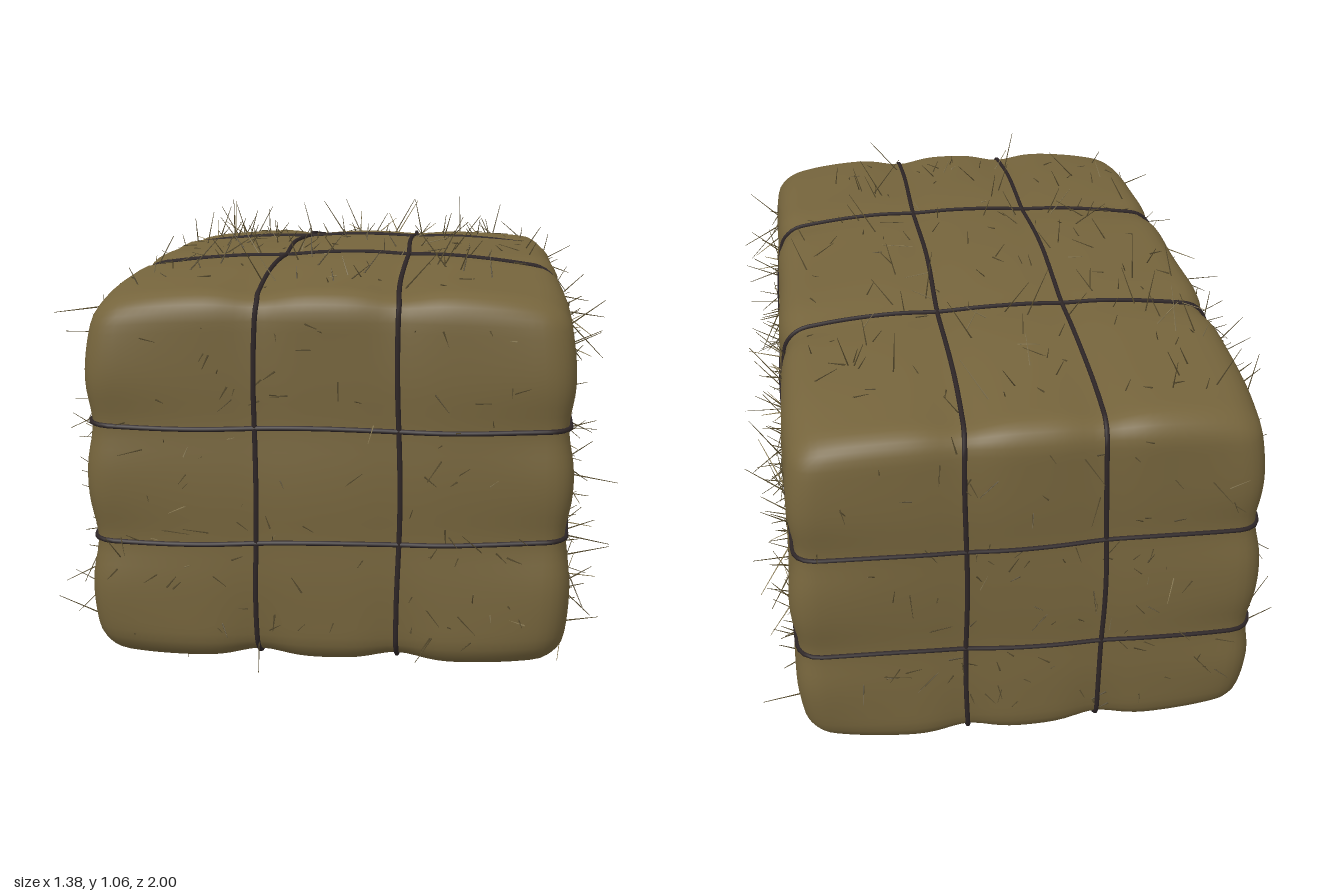
import * as THREE from 'three';
import { mergeVertices, mergeGeometries } from 'three/addons/utils/BufferGeometryUtils.js';

const AXES = ['x', 'y', 'z'];
const HALF = new THREE.Vector3(0.547, 0.43, 0.912);
const CENTER = new THREE.Vector3(0.018, 0.483, 0);
const ROUND = 0.062;
// where each twine loop runs, as a position along its axis (slightly skewed)
const TWINE = {
  x: [(p) => -0.145 + 0.006 * p.z, (p) => 0.172 + 0.006 * p.z],
  y: [(p) => 0.335 + 0.018 * Math.cos(1.7 * p.z) + 0.016 * p.x + 0.01 * p.z,
    (p) => 0.606 + 0.012 * Math.cos(1.7 * p.z)],
  z: [(p) => -0.338 - 0.02 * p.x, (p) => 0.312 + 0.008 * p.x],
};

function makeRandom(seed) {
  return () => {
    seed = (seed * 1664525 + 1013904223) % 4294967296;
    return seed / 4294967296;
  };
}

// Maps a point on the plain box to the soft, pinched bale surface
function onBale(p) {
  const inner = p.clone().clamp(
    HALF.clone().negate().addScalar(ROUND), HALF.clone().subScalar(ROUND));
  const normal = p.clone().sub(inner).normalize();
  const out = inner.addScaledVector(normal, ROUND);
  const n = out.clone().divide(HALF);
  // worn corners, the upper ones sagging more
  const corner = Math.abs(n.x * n.y * n.z) ** 4;
  out.multiplyScalar(1 - 0.045 * corner);
  // crowned top, slightly full sides
  out.y += Math.max(n.y, 0) * Math.cos(n.z * 1.5) * 0.045 * (0.35 + 0.65 * Math.cos(n.x * 1.5));
  out.y -= Math.max(n.y, 0) * 0.025 * corner;
  out.x += 0.013 * n.x * (1 - n.y * n.y);
  out.add(CENTER);
  // gentle lumps, and grooves under the twine that bite deepest on the edges
  let push = 0.004 * Math.sin(out.x * 6 + out.z * 8 + 1) * Math.sin(out.y * 9 + out.z * 5);
  AXES.forEach((a, i) => {
    const edge = Math.abs(n[AXES[(i + 1) % 3]] * n[AXES[(i + 2) % 3]]) ** 4;
    const depth = (0.004 + 0.018 * edge) * (1 - Math.abs(normal[a]));
    for (const line of TWINE[a]) {
      push -= depth * Math.exp(-(((out[a] - line(out)) / 0.07) ** 2));
    }
  });
  out.addScaledVector(normal, push);
  return { point: out, normal };
}

function makeBale(material) {
  let geo = new THREE.BoxGeometry(HALF.x * 2, HALF.y * 2, HALF.z * 2, 48, 38, 80);
  geo.deleteAttribute('uv');
  geo.deleteAttribute('normal');
  const pos = geo.attributes.position;
  const v = new THREE.Vector3();
  for (let i = 0; i < pos.count; i++) {
    const { point } = onBale(v.fromBufferAttribute(pos, i));
    pos.setXYZ(i, point.x, point.y, point.z);
  }
  geo = mergeVertices(geo, 1e-5);
  geo.computeVertexNormals();
  const mesh = new THREE.Mesh(geo, material);
  mesh.name = 'bale';
  return mesh;
}

// One loop of twine around the bale, across the given axis
function makeTwine(axis, line, material) {
  const [a, b] = AXES.filter((k) => k !== axis);
  const corners = [[-1, -1], [1, -1], [1, 1], [-1, 1]];
  const points = [];
  const steps = 36;
  corners.forEach((c, i) => {
    const d = corners[(i + 1) % 4];
    for (let s = 0; s < steps; s++) {
      const t = s / steps;
      const p = new THREE.Vector3();
      p[a] = THREE.MathUtils.lerp(c[0], d[0], t) * HALF[a];
      p[b] = THREE.MathUtils.lerp(c[1], d[1], t) * HALF[b];
      p[axis] = line(p) - CENTER[axis] + 0.003 * Math.sin(p[a] * 11 + p[b] * 9);
      const { point, normal } = onBale(p);
      points.push(point.addScaledVector(normal, 0.003));
    }
  });
  const curve = new THREE.CatmullRomCurve3(points, true);
  const mesh = new THREE.Mesh(new THREE.TubeGeometry(curve, 260, 0.0058, 6, true), material);
  mesh.name = 'twineLoop';
  return mesh;
}

function strawGeometry(base, direction, length, radius) {
  const geo = new THREE.CylinderGeometry(radius * 0.35, radius, length, 3);
  geo.translate(0, length / 2, 0);
  geo.applyQuaternion(new THREE.Quaternion().setFromUnitVectors(
    new THREE.Vector3(0, 1, 0), direction));
  return geo.translate(base.x, base.y, base.z);
}

// Loose straw: [axis, side, standing stalks, flat flecks, longest stalk]
const STRAW = [
  ['x', -1, 210, 30, 0.16], ['x', 1, 210, 30, 0.15],
  ['y', 1, 150, 35, 0.14], ['y', -1, 40, 15, 0.05],
  ['z', 1, 75, 30, 0.1], ['z', -1, 75, 30, 0.1],
];

function scatterStraw(darkStraw, paleStraw) {
  const random = makeRandom(77);
  const spread = () => random() * 2 - 1;
  const dark = [], pale = [];
  for (const [axis, side, stalks, flecks, longest] of STRAW) {
    for (let i = 0; i < stalks + flecks; i++) {
      // kept off the rounded edges
      const p = new THREE.Vector3(spread(), spread(), spread()).multiplyScalar(0.88).multiply(HALF);
      p[axis] = side * HALF[axis];
      const { point, normal } = onBale(p);
      const flat = i >= stalks;
      const dir = new THREE.Vector3(spread(), spread(), spread());
      if (flat) dir.addScaledVector(normal, -dir.dot(normal)).normalize();
      else dir.multiplyScalar(0.95).addScaledVector(normal, 0.85).normalize();
      const length = flat ? 0.015 + random() * 0.03
        : THREE.MathUtils.lerp(0.03, longest, random() ** 1.6);
      // keep the stalks inside the overall outline
      const tip = point.clone().addScaledVector(dir, length);
      if (tip.y < 0.003 || tip.y > 1.07 || Math.abs(tip.z) > 0.99 || Math.abs(tip.x) > 0.69) continue;
      const geo = strawGeometry(point.addScaledVector(normal, flat ? 0.001 : -0.005),
        dir, length, flat ? 0.0026 : 0.0021);
      (random() < 0.12 ? pale : dark).push(geo);
    }
  }
  // longest stalks at each end and below
  for (const s of [-1, 1]) {
    dark.push(strawGeometry(new THREE.Vector3(-0.3 * s, 0.5, 0.89 * s),
      new THREE.Vector3(0, 0, s), 0.11, 0.002));
    dark.push(strawGeometry(new THREE.Vector3(0.55 * s, 0.45, 0.1 * s),
      new THREE.Vector3(s, 0, 0), 0.14, 0.002));
  }
  dark.push(strawGeometry(new THREE.Vector3(-0.19, 0.06, 0.2),
    new THREE.Vector3(0, -1, 0), 0.06, 0.002));

  const group = new THREE.Group();
  group.name = 'looseStraw';
  for (const [name, list, material] of [
    ['darkStalks', dark, darkStraw], ['paleStalks', pale, paleStraw]]) {
    const mesh = new THREE.Mesh(mergeGeometries(list), material);
    mesh.name = name;
    group.add(mesh);
  }
  return group;
}

export function createModel() {
  const paint = (name, color) => {
    const m = new THREE.MeshStandardMaterial({ color });
    m.name = name;
    return m;
  };
  const hay = paint('hay', 0x75643c);
  const twine = paint('twine', 0x2e2627);
  const darkStraw = paint('darkStraw', 0x5a4e30);
  const paleStraw = paint('paleStraw', 0x93835a);

  const model = new THREE.Group();
  model.name = 'hayBale';
  model.add(makeBale(hay));

  const loops = new THREE.Group();
  loops.name = 'twine';
  for (const axis of AXES) {
    for (const line of TWINE[axis]) loops.add(makeTwine(axis, line, twine));
  }
  model.add(loops, scatterStraw(darkStraw, paleStraw));
  return model;
}
